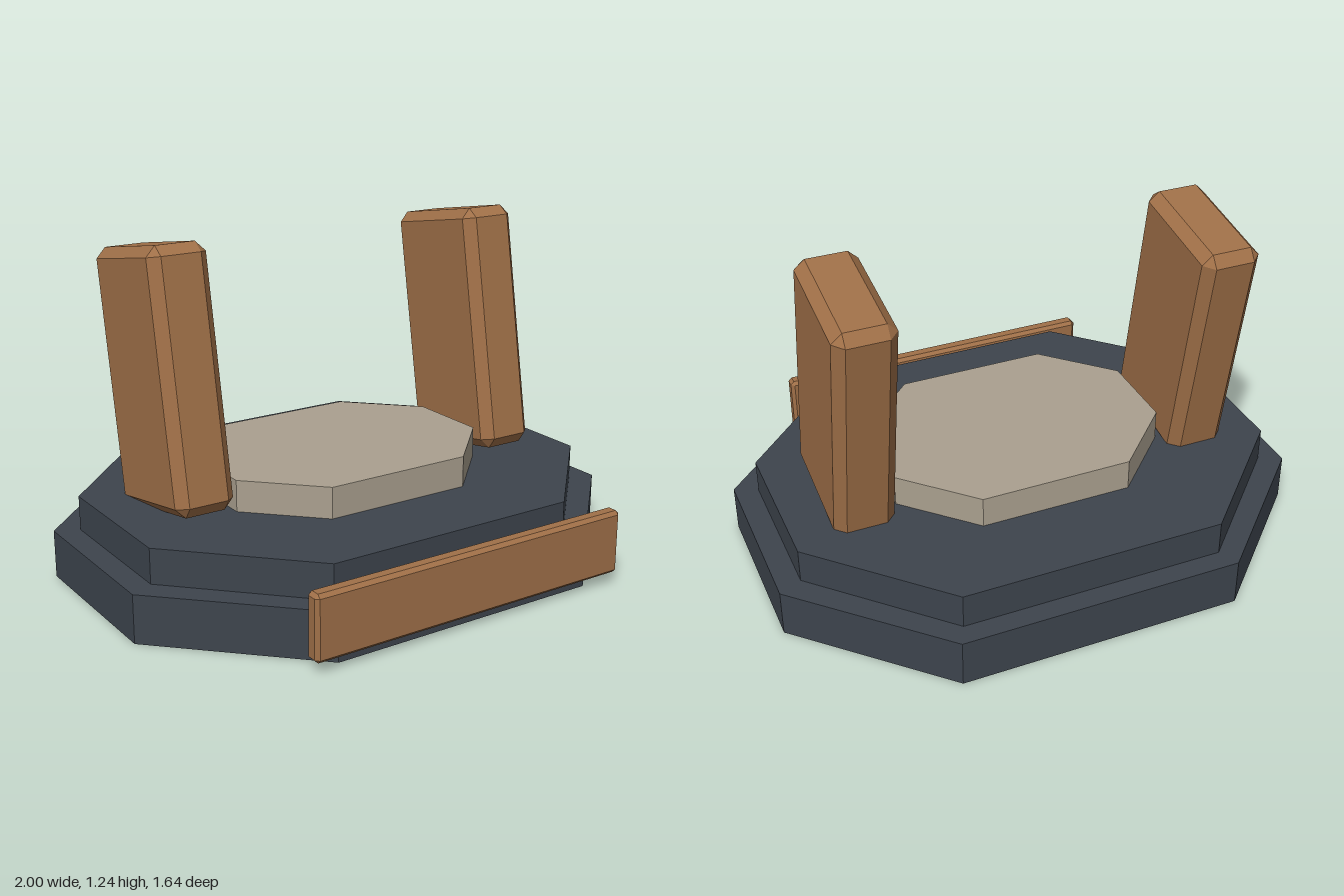
import * as THREE from 'three';
import { ConvexGeometry } from 'three/addons/geometries/ConvexGeometry.js';

const material = (color) => new THREE.MeshStandardMaterial({ color, flatShading: true });

// Octagonal slab: half width, half depth, corner x, corner z, bottom and top
function slab(name, hx, hz, cx, cz, y0, y1, mat) {
  const corners = [[cx, -hz], [hx, -cz], [hx, cz], [cx, hz], [-cx, hz], [-hx, cz], [-hx, -cz], [-cx, -hz]];
  const shape = new THREE.Shape(corners.map(([x, z]) => new THREE.Vector2(x, z)));
  const geometry = new THREE.ExtrudeGeometry(shape, { depth: y1 - y0, bevelEnabled: false });
  geometry.rotateX(-Math.PI / 2);
  const mesh = new THREE.Mesh(geometry, mat);
  mesh.name = name;
  mesh.position.set(0, y0, -0.025);
  return mesh;
}

// Box with every edge chamfered by b
function chamferedBox(name, w, h, d, b, mat) {
  const points = [];
  for (const sx of [-1, 1]) for (const sy of [-1, 1]) for (const sz of [-1, 1]) {
    for (let axis = 0; axis < 3; axis++) {
      const half = [w / 2, h / 2, d / 2].map((v, i) => (i === axis ? v : v - b));
      points.push(new THREE.Vector3(sx * half[0], sy * half[1], sz * half[2]));
    }
  }
  const mesh = new THREE.Mesh(new ConvexGeometry(points), mat);
  mesh.name = name;
  return mesh;
}

export function createModel() {
  const group = new THREE.Group();
  group.name = 'steppedPlatform';
  const stone = material(0x3d444d);
  const wood = material(0xa07048);
  const pale = material(0xaaa08f);

  // Stepped octagonal base and central pad
  group.add(slab('lowerStep', 1, 0.795, 0.52, 0.32, 0, 0.175, stone));
  group.add(slab('upperStep', 0.915, 0.717, 0.485, 0.28, 0.175, 0.302, stone));
  group.add(slab('centrePad', 0.52, 0.4, 0.282, 0.16, 0.302, 0.417, pale));

  // Two posts leaning backwards
  for (const side of [-1, 1]) {
    const post = chamferedBox(side > 0 ? 'leftPost' : 'rightPost', 0.222, 0.918, 0.47, 0.037, wood);
    post.position.set(side * 0.655, 0.749, -0.115);
    post.rotation.x = -Math.PI / 18;
    group.add(post);
  }

  // Plank across the front
  const plank = chamferedBox('frontPlank', 1.27, 0.234, 0.06, 0.013, wood);
  plank.position.set(0, 0.161, 0.792);
  group.add(plank);

  return group;
}
